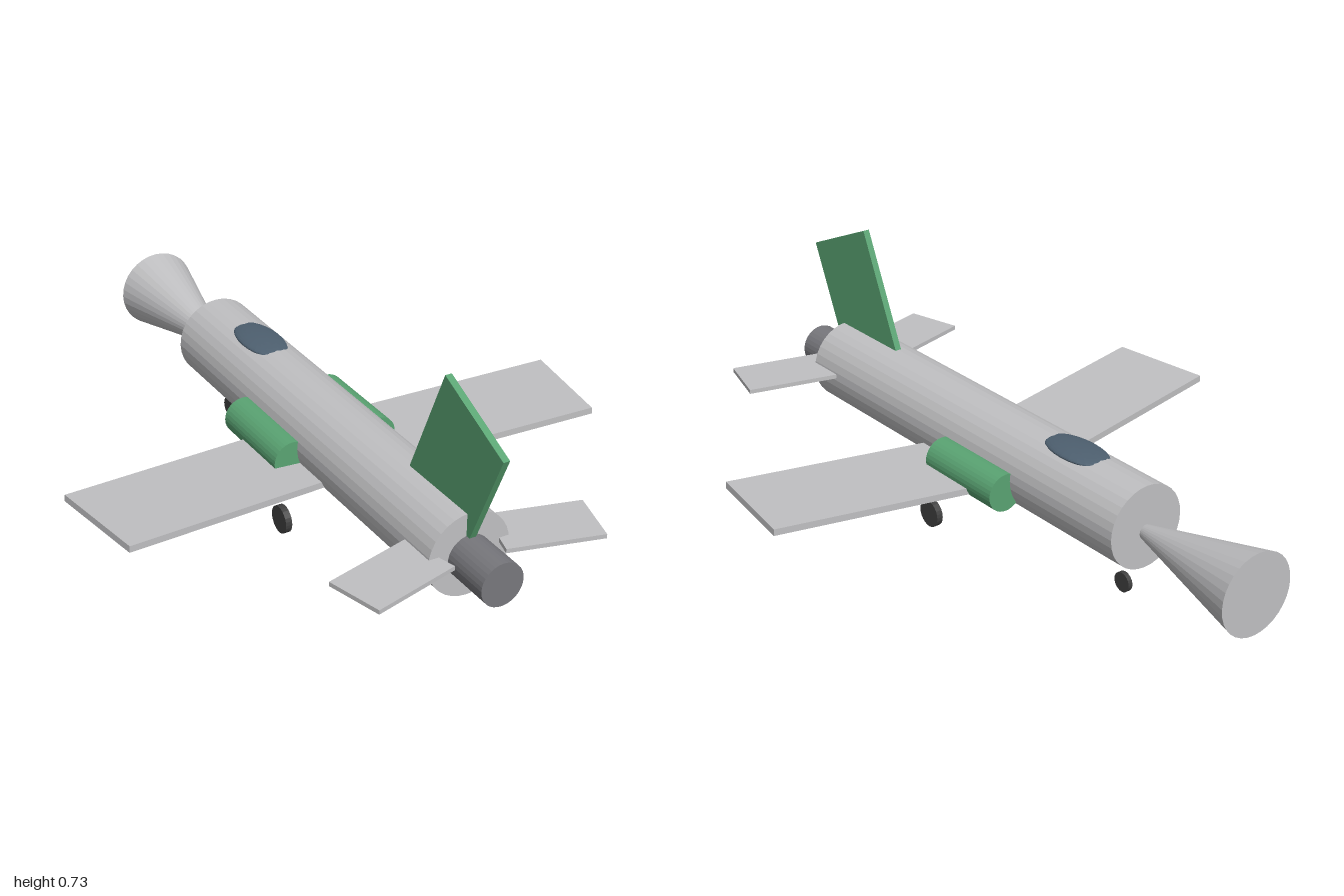
import * as THREE from 'three';

const paint = (name, color) => {
  const m = new THREE.MeshStandardMaterial({ color, flatShading: true });
  m.name = name;
  return m;
};

export function createModel() {
  const silver = paint('silver grey', 0xc0c0c2);
  const green = paint('green', 0x5aa473);
  const steel = paint('dark steel', 0x77777c);
  const glass = paint('canopy blue', 0x4e6070);
  const rubber = paint('tyre black', 0x404040);

  const model = new THREE.Group();
  model.name = 'jetAircraft';

  const add = (name, geometry, material, x, y, z) => {
    const mesh = new THREE.Mesh(geometry, material);
    mesh.name = name;
    mesh.position.set(x, y, z);
    model.add(mesh);
    return mesh;
  };

  // Cylinder lying along z between two z values
  const tubeZ = (name, r, z0, z1, material, x, y) =>
    add(name, new THREE.CylinderGeometry(r, r, z1 - z0, 32).rotateX(Math.PI / 2),
      material, x, y, (z0 + z1) / 2);

  // Wheel with its axle along x
  const wheel = (name, r, width, x, y, z) =>
    add(name, new THREE.CylinderGeometry(r, r, width, 24).rotateZ(Math.PI / 2),
      rubber, x, y, z);

  // Body and exhaust
  tubeZ('fuselage', 0.126, -0.575, 0.845, silver, 0, 0.253);
  tubeZ('exhaust', 0.065, 0.8, 1, steel, 0, 0.247);

  // Nose cone, wide end outward, tip buried in the fuselage
  const cone = new THREE.ConeGeometry(0.123, 0.52, 32).rotateX(Math.PI / 2);
  add('noseCone', cone, silver, 0, 0.238, -0.74);

  // Flattened canopy
  const canopy = add('canopy', new THREE.SphereGeometry(1, 24, 16), glass, 0, 0.37, -0.285);
  canopy.scale.set(0.0625, 0.015, 0.125);

  // Swept tail fin
  const fin = add('tailFin', new THREE.BoxGeometry(0.02, 0.43, 0.295), green, 0, 0.469, 0.768);
  fin.rotation.x = 0.417;

  // Mirrored parts
  for (const [s, side] of [[1, 'left'], [-1, 'right']]) {
    const wing = add(side + 'Wing', new THREE.BoxGeometry(0.74, 0.02, 0.323),
      silver, s * 0.405, 0.215, 0.16);
    wing.rotation.set(0, -s * 0.137, s * 0.064, 'YXZ');

    const tail = add(side + 'Tailplane', new THREE.BoxGeometry(0.28, 0.013, 0.176),
      silver, s * 0.2375, 0.266, 0.85);
    tail.rotation.y = -s * 0.26;

    tubeZ(side + 'Intake', 0.058, -0.14, 0.16, green, s * 0.141, 0.223);
    wheel(side + 'MainWheel', 0.042, 0.02, s * 0.179, 0.042, 0.165);
  }
  wheel('noseWheel', 0.03, 0.014, 0, 0.042, -0.49);

  return model;
}
